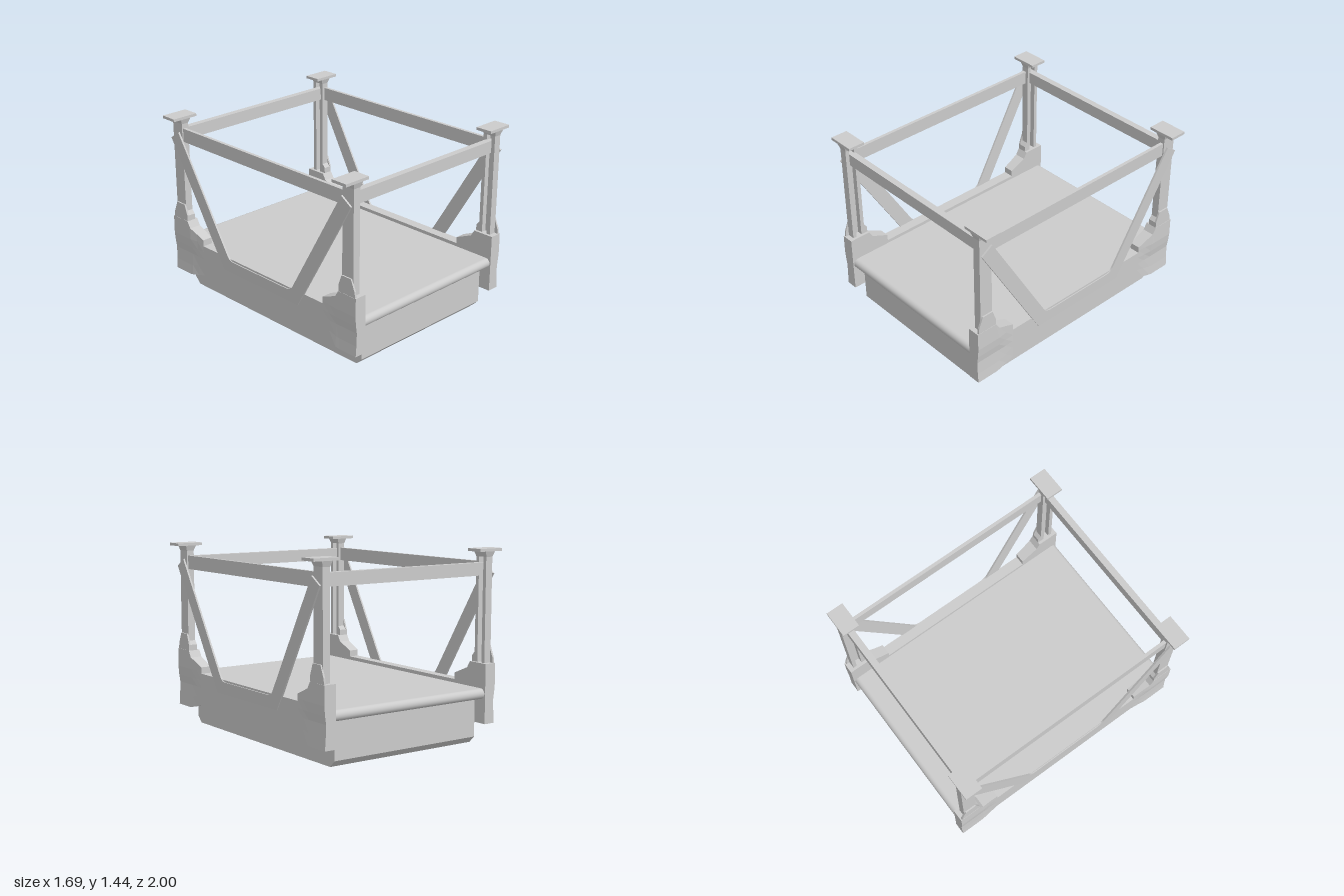
import * as THREE from 'three';

const material = new THREE.MeshStandardMaterial({ color: 0xcccccc, flatShading: true });
const smoothMaterial = new THREE.MeshStandardMaterial({ color: 0xcccccc });

function add(parent, name, geometry, mat = material) {
  const mesh = new THREE.Mesh(geometry, mat);
  mesh.name = name;
  parent.add(mesh);
  return mesh;
}

// Box given by its minimum and maximum on each axis
function box(parent, name, x0, x1, y0, y1, z0, z1) {
  return add(parent, name, new THREE.BoxGeometry(x1 - x0, y1 - y0, z1 - z0)
    .translate((x0 + x1) / 2, (y0 + y1) / 2, (z0 + z1) / 2));
}

// Extrudes a (z, y) outline across x, from x0 to x1
function extrudeAcross(shape, x0, x1) {
  return new THREE.ExtrudeGeometry(shape, { depth: x1 - x0, bevelEnabled: false, curveSegments: 10 })
    .rotateY(-Math.PI / 2).translate(x1, 0, 0);
}

const outline = (points) => new THREE.Shape(points.map(([a, b]) => new THREE.Vector2(a, b)));

// Cross-section of the side beam: flat inside, swollen outside by the given amount
function beamSection(bottom, top, swell) {
  const low = Math.min(bottom + 0.08, 0.27);
  return [
    [0.678, bottom], [0.76 + 0.01 * swell, bottom], [0.76 + 0.004 * swell, low],
    [0.76, 0.33], [0.76 + 0.009 * swell, Math.min(0.39, top)],
    [0.76 + 0.015 * swell, Math.min(0.46, top)], [0.76 + 0.013 * swell, top], [0.678, top],
  ];
}

// Joins beam cross-sections from front to back
function beamGeometry() {
  const half = [ // z, bottom, top, swell
    [1, 0.15, 0.6, 1], [0.83, 0.15, 0.6, 1], [0.8, 0.155, 0.55, 1],
    [0.73, 0.172, 0.52, 0.4], [0.66, 0.19, 0.49, 0], [0.66, 0.19, 0.44, 0],
  ];
  const stations = [...half, ...half.slice().reverse().map(([z, ...rest]) => [-z, ...rest])];
  const rings = stations.map(([z, ...rest]) => beamSection(...rest).map(([x, y]) => [x, y, z]));
  const n = rings[0].length;
  const index = [];
  for (let i = 0; i < rings.length - 1; i++) {
    for (let j = 0; j < n; j++) {
      const a = i * n + j, b = i * n + (j + 1) % n;
      index.push(a, a + n, b, b, a + n, b + n);
    }
  }
  const caps = THREE.ShapeUtils.triangulateShape(rings[0].map(([x, y]) => new THREE.Vector2(x, y)), []);
  const last = (rings.length - 1) * n;
  for (const [a, b, c] of caps) index.push(a, b, c, last + a, last + c, last + b);
  const geometry = new THREE.BufferGeometry();
  geometry.setAttribute('position', new THREE.Float32BufferAttribute(rings.flat(2), 3));
  geometry.setIndex(index);
  const flat = geometry.toNonIndexed();
  flat.computeVertexNormals();
  return flat;
}

// One-piece brace: two sloping arms joined by a low bar, leaning outward at the top
function braceGeometry() {
  const s = new THREE.Shape();
  s.moveTo(0.41, 0.33);
  s.lineTo(0.96, 1.26);
  s.lineTo(0.87, 1.32);
  s.lineTo(0.362, 0.465);
  s.quadraticCurveTo(0.34, 0.425, 0.29, 0.425);
  s.lineTo(-0.29, 0.425);
  s.quadraticCurveTo(-0.34, 0.425, -0.362, 0.465);
  s.lineTo(-0.87, 1.32);
  s.lineTo(-0.96, 1.26);
  s.lineTo(-0.41, 0.33);
  const geometry = extrudeAcross(s, 0.752, 0.766);
  const p = geometry.attributes.position;
  for (let i = 0; i < p.count; i++) p.setX(i, p.getX(i) + (p.getY(i) - 0.33) * 0.021);
  geometry.computeVertexNormals();
  return geometry;
}

// Corner post: a channel open towards the middle, with a flared head and a cap plate
function buildPost() {
  const post = new THREE.Group();
  post.name = 'cornerPost';
  box(post, 'postWeb', 0.742, 0.76, 0.58, 1.4, 0.856, 0.962);
  for (const z of [0.856, 0.932]) box(post, 'postFlange', 0.7, 0.742, 0.58, 1.4, z, z + 0.03);
  const flare = new THREE.BoxGeometry(0.06, 0.04, 0.106).translate(0.73, 1.402, 0.909);
  const p = flare.attributes.position;
  for (let i = 0; i < p.count; i++) {
    if (p.getY(i) < 1.4) continue;
    p.setX(i, p.getX(i) + Math.sign(p.getX(i) - 0.73) * 0.014);
    p.setZ(i, p.getZ(i) + Math.sign(p.getZ(i) - 0.909) * 0.012);
  }
  flare.computeVertexNormals();
  add(post, 'postHead', flare);
  box(post, 'capPlate', 0.632, 0.844, 1.422, 1.443, 0.84, 0.974);
  // Foot bracket against the outside of the post, with a small stop behind it
  const bracket = outline([[0.99, 0.58], [0.99, 0.61], [0.985, 0.645], [0.95, 0.73],
    [0.86, 0.73], [0.83, 0.645], [0.83, 0.58]]);
  add(post, 'footBracket', extrudeAcross(bracket, 0.757, 0.771));
  const stop = outline([[0.86, 0.58], [0.86, 0.68], [0.83, 0.645], [0.83, 0.58]]);
  add(post, 'footStop', extrudeAcross(stop, 0.7, 0.758));
  return post;
}

function buildSide() {
  const side = new THREE.Group();
  side.name = 'sideFrame';
  add(side, 'sideBeam', beamGeometry());
  add(side, 'brace', braceGeometry());
  box(side, 'topSideRail', 0.724, 0.75, 1.24, 1.345, -0.858, 0.858);
  const front = buildPost();
  side.add(front);
  // The rear post mirrors the front one: half a turn about the post's own x position
  const rear = new THREE.Group();
  rear.name = 'rearPost';
  rear.add(buildPost());
  rear.scale.z = -1;
  side.add(rear);
  return side;
}

export function createModel() {
  const model = new THREE.Group();
  model.name = 'stackingRack';

  // Lower tray with chamfered bottom edges
  const tray = outline([[-0.88, 0], [0.88, 0], [0.93, 0.05], [0.93, 0.345],
    [-0.93, 0.345], [-0.93, 0.05]]);
  add(model, 'tray', extrudeAcross(tray, -0.64, 0.64));

  // Deck with half-round front and rear edges
  const r = 0.039, y = 0.374, end = 0.992 - r;
  box(model, 'deck', -0.685, 0.685, y - r, y + r, -end, end);
  for (const s of [-1, 1]) {
    const roll = new THREE.CylinderGeometry(r, r, 1.37, 24, 1, true).rotateZ(Math.PI / 2);
    add(model, 'deckEdge', roll.translate(0, y, s * end), smoothMaterial);
    box(model, 'topCrossRail', -0.745, 0.745, 1.245, 1.34, s * 0.9 - 0.025, s * 0.9 + 0.025);
  }

  // The two side frames are the same, turned to face each other
  for (const turn of [0, Math.PI]) {
    const side = buildSide();
    side.rotation.y = turn;
    model.add(side);
  }
  return model;
}
